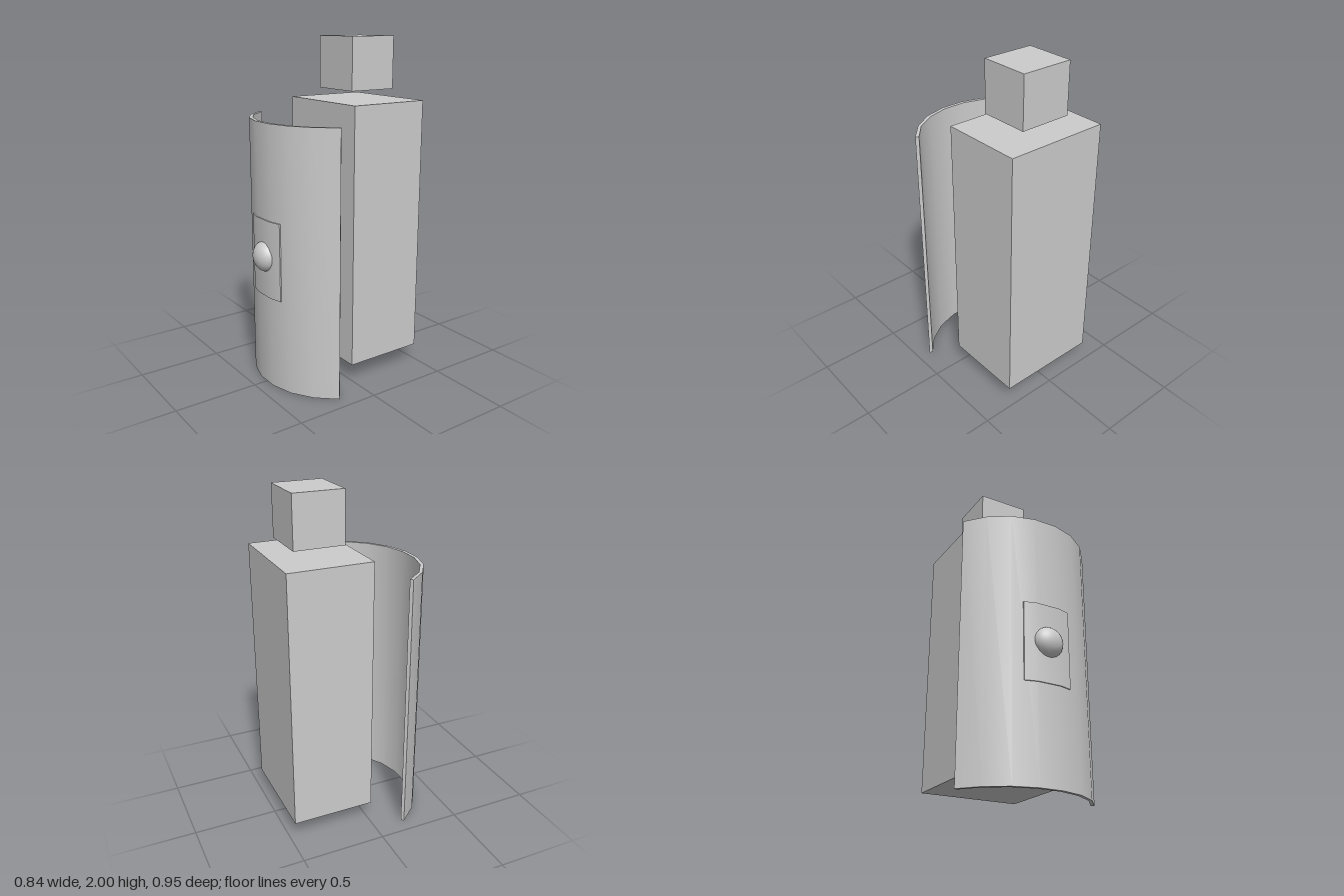
import * as THREE from 'three';
import { toCreasedNormals } from 'three/addons/utils/BufferGeometryUtils.js';

const material = new THREE.MeshStandardMaterial({ color: 0xcccccc });

function addPart(group, name, geometry, x = 0, y = 0, z = 0) {
  const mesh = new THREE.Mesh(geometry, material);
  mesh.name = name;
  mesh.position.set(x, y, z);
  group.add(mesh);
  return mesh;
}

// Upright curved sheet: outer and inner are [x, z] points of the +x half, listed from the middle out
function curvedSheet(outer, inner, height) {
  const wholeCurve = (half) => [...half.map(([x, z]) => [-x, z]).reverse(), ...half];
  const outline = [...wholeCurve(outer), ...wholeCurve(inner).reverse()];
  const shape = new THREE.Shape(outline.map(([x, z]) => new THREE.Vector2(x, -z)));
  const geometry = new THREE.ExtrudeGeometry(shape, { depth: height, bevelEnabled: false });
  geometry.rotateX(-Math.PI / 2);
  return toCreasedNormals(geometry, 0.6);
}

export function createModel() {
  const group = new THREE.Group();

  // Blocky figure
  addPart(group, 'body', new THREE.BoxGeometry(0.62, 1.525, 0.492), 0, 0.8775, -0.231);
  addPart(group, 'head', new THREE.BoxGeometry(0.31, 0.3, 0.296), 0, 1.85, -0.231);

  // Tall curved shield standing in front
  const shield = new THREE.Group();
  shield.name = 'shield';
  group.add(shield);
  addPart(shield, 'shieldBoard', curvedSheet(
    [[0.07, 0.413], [0.205, 0.375], [0.325, 0.298], [0.421, 0.188]],
    [[0.07, 0.391], [0.2, 0.354], [0.317, 0.28], [0.405, 0.175]],
    1.55));

  // Thin plate that follows the board, with a domed boss
  addPart(shield, 'bossPlate', curvedSheet(
    [[0.07, 0.42], [0.143, 0.4]],
    [[0.07, 0.411], [0.143, 0.391]],
    0.455), 0, 0.55, 0);
  const dome = new THREE.SphereGeometry(0.088, 24, 6, 0, Math.PI * 2, 0, Math.PI / 2);
  dome.rotateX(Math.PI / 2);
  dome.scale(1, 1, 0.74);
  addPart(shield, 'boss', dome, 0, 0.785, 0.41);

  return group;
}
